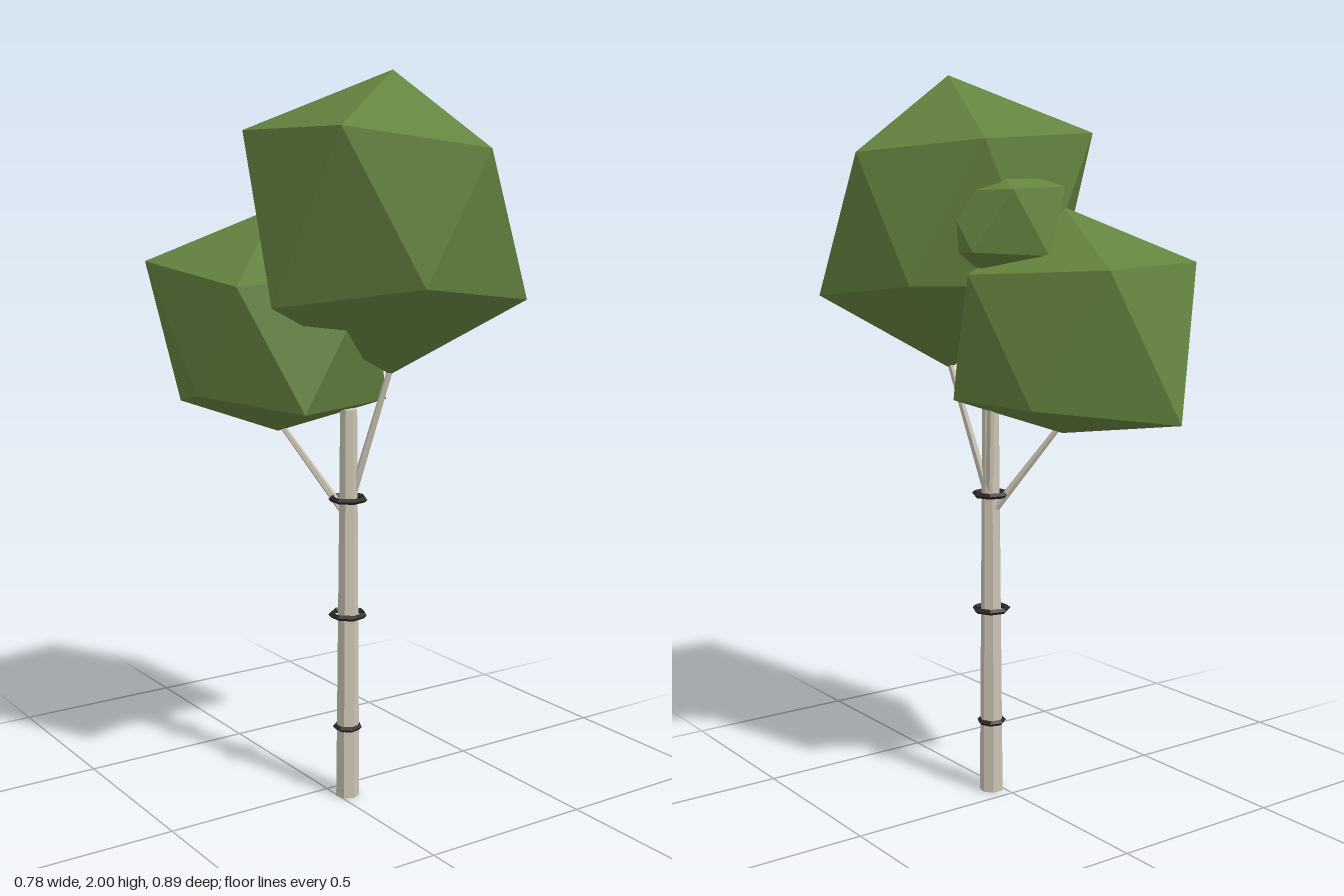
import * as THREE from 'three';

const material = (color) => new THREE.MeshStandardMaterial({ color, flatShading: true });

// Irregular icosahedron: two rings of five corners with their own radii, plus two poles
function crownGeometry(upper, lower, slope, top, bottom) {
  const corner = (radius, degrees, sign) => {
    const a = THREE.MathUtils.degToRad(degrees);
    return new THREE.Vector3(radius * Math.cos(a), sign * slope * radius, radius * Math.sin(a));
  };
  const U = upper.map((r, i) => corner(r, i * 72, 1));
  const L = lower.map((r, i) => corner(r, i * 72 + 36, -1));
  const T = new THREE.Vector3(0, top, 0);
  const B = new THREE.Vector3(0, -bottom, 0);
  const points = [];
  for (let i = 0; i < 5; i++) {
    const n = (i + 1) % 5;
    points.push(T, U[n], U[i], U[i], U[n], L[i], L[i], U[n], L[n], B, L[i], L[n]);
  }
  const geometry = new THREE.BufferGeometry().setFromPoints(points);
  geometry.computeVertexNormals();
  return geometry;
}

export function createModel() {
  const group = new THREE.Group();
  const bark = material(0xc9c3b2);
  const dark = material(0x2b2724);
  const leaf = material(0x64833f);
  const add = (name, geometry, mat, x, y, z) => {
    const mesh = new THREE.Mesh(geometry, mat);
    mesh.name = name;
    mesh.position.set(x, y, z);
    group.add(mesh);
    return mesh;
  };
  const trunkX = 0.028, trunkZ = 0.062;

  // Tapered trunk
  add('trunk', new THREE.CylinderGeometry(0.024, 0.034, 1.11, 7), bark, trunkX, 0.555, trunkZ);

  // Dark bark rings
  for (const [y, radius] of [[0.205, 0.034], [0.533, 0.047], [0.862, 0.047]]) {
    const ring = add('barkRing', new THREE.TorusGeometry(radius, 0.008, 4, 7), dark, trunkX, y, trunkZ);
    ring.rotation.x = Math.PI / 2;
  }

  // Thin branches from the trunk to each crown
  const branches = [
    [[0.03, 0.82, 0.055], [0.105, 1.25, 0.16]],
    [[0.03, 0.81, 0.055], [-0.10, 1.07, -0.095]],
    [[0.035, 0.84, 0.06], [0.10, 1.48, -0.05]],
  ];
  for (const [from, to] of branches) {
    const a = new THREE.Vector3(...from), b = new THREE.Vector3(...to);
    const direction = b.clone().sub(a);
    const geometry = new THREE.CylinderGeometry(0.008, 0.012, direction.length(), 5);
    const middle = a.clone().add(b).multiplyScalar(0.5);
    const branch = add('branch', geometry, bark, middle.x, middle.y, middle.z);
    branch.quaternion.setFromUnitVectors(new THREE.Vector3(0, 1, 0), direction.normalize());
  }

  // Foliage crowns
  add('frontCrown', crownGeometry([0.29, 0.305, 0.39, 0.39, 0.335],
    [0.358, 0.28, 0.37, 0.3, 0.297], 0.585, 0.38, 0.41), leaf, 0.10, 1.62, 0.155);
  add('backCrown', crownGeometry([0.31, 0.33, 0.27, 0.358, 0.335],
    [0.297, 0.3, 0.25, 0.37, 0.29], 0.57, 0.35, 0.26), leaf, -0.10, 1.30, -0.095);
  add('smallCrown', crownGeometry([0.16, 0.17, 0.17, 0.19, 0.17],
    [0.16, 0.17, 0.17, 0.18, 0.16], 0.48, 0.15, 0.18), leaf, 0.10, 1.61, -0.05);

  return group;
}
